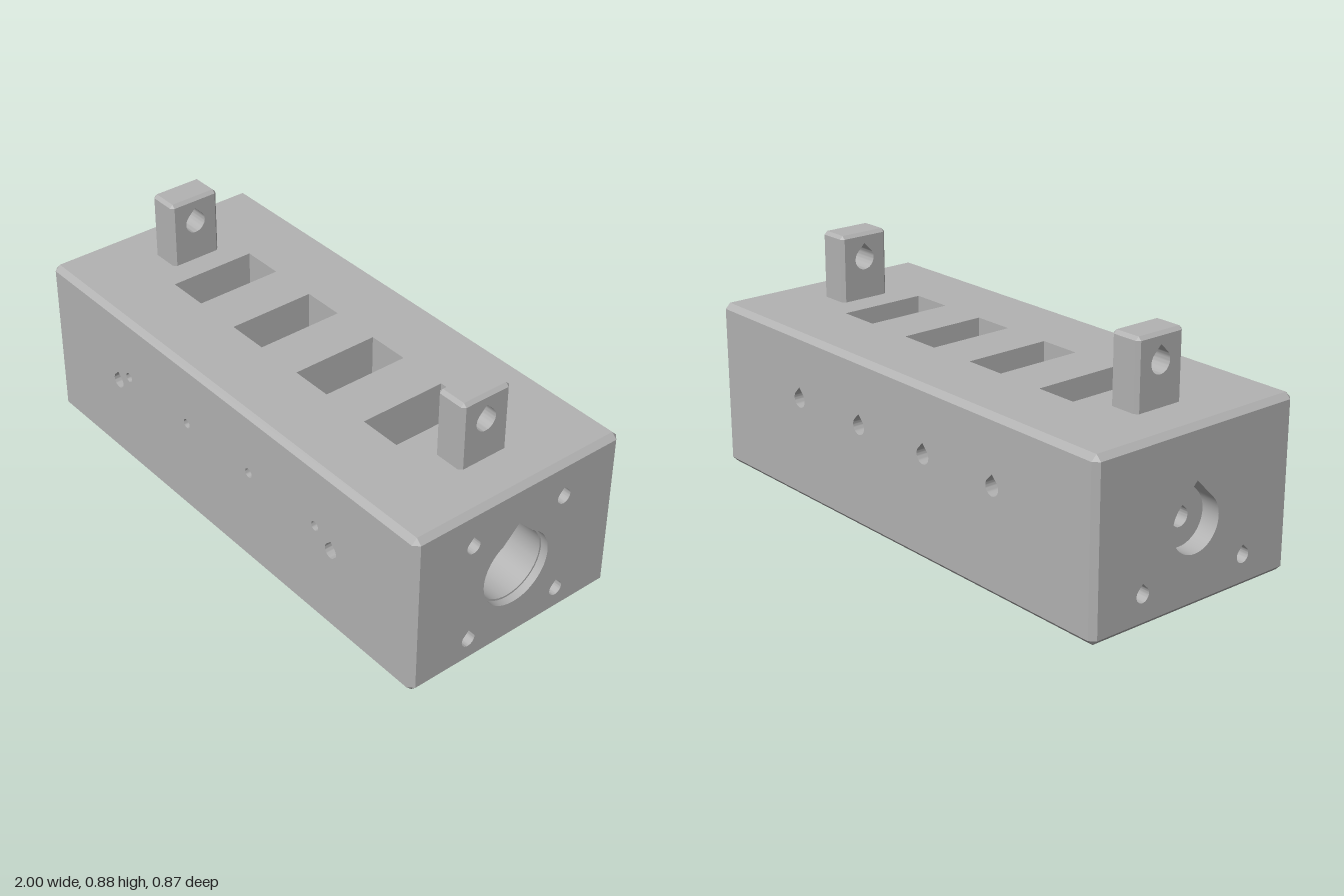
import * as THREE from 'three';
import { toCreasedNormals } from 'three/addons/utils/BufferGeometryUtils.js';

const grey = new THREE.MeshStandardMaterial({ color: 0xb2b2b2, side: THREE.DoubleSide });
grey.name = 'grey';

// Rotations that turn a local +z facing panel towards each side
const Q = Math.PI / 2;
const SIDES = {
  front: [0, 0], back: [0, 2 * Q], right: [0, Q], left: [0, -Q], top: [-Q, 0], bottom: [Q, 0],
};

// Outline of a teardrop hole, counter-clockwise; tip = r gives a plain circle
function drop(cx, cy, r, tip = r * Math.SQRT2) {
  const N = 32;
  const gap = Math.PI / 4 + Math.acos(Math.min(1, tip / (r * Math.SQRT2)));
  const start = Math.PI - gap;
  const sweep = Math.PI + 2 * gap;
  const pts = [];
  for (let i = 0; i <= N; i++) {
    const a = start + (sweep * i) / N;
    pts.push(new THREE.Vector2(cx + r * Math.cos(a), cy + r * Math.sin(a)));
  }
  pts.push(new THREE.Vector2(cx, cy + tip));
  return pts;
}
const rect = (x0, x1, y0, y1) =>
  [[x0, y0], [x1, y0], [x1, y1], [x0, y1]].map(([x, y]) => new THREE.Vector2(x, y));

function add(parent, name, geometry, side) {
  const mesh = new THREE.Mesh(geometry, grey);
  mesh.name = name;
  if (side) mesh.rotation.set(SIDES[side][0], SIDES[side][1], 0);
  parent.add(mesh);
  return mesh;
}

// Flat panel with holes, at distance w along its own normal
function panel(parent, name, side, outline, w, holes = []) {
  const shape = new THREE.Shape(outline);
  for (const h of holes) shape.holes.push(new THREE.Path(h));
  return add(parent, name, new THREE.ShapeGeometry(shape).translate(0, 0, w), side);
}

// Inward-facing walls through a chain of [outline, depth position]
function bore(parent, name, side, chain, closed = true) {
  const pos = [];
  for (let k = 0; k + 1 < chain.length; k++) {
    const [A, za] = chain[k], [B, zb] = chain[k + 1];
    for (let i = 0; i < A.length - (closed ? 0 : 1); i++) {
      const j = (i + 1) % A.length;
      pos.push(A[i].x, A[i].y, za, A[j].x, A[j].y, za, B[j].x, B[j].y, zb);
      pos.push(A[i].x, A[i].y, za, B[j].x, B[j].y, zb, B[i].x, B[i].y, zb);
    }
  }
  const g = new THREE.BufferGeometry();
  g.setAttribute('position', new THREE.Float32BufferAttribute(pos, 3));
  return add(parent, name, toCreasedNormals(g, 0.5), side);
}

// Blind hole; returns its outline for cutting the panel
function blind(parent, side, w, depth, cx, cy, r, tip) {
  const o = drop(cx, cy, r, tip);
  bore(parent, 'blindHole', side, [[o, w], [o, w - depth], [drop(cx, cy, 1e-4), w - depth]]);
  return o;
}

// Chamfered box: six panels plus the bevelled edges between them
function chamferedBox(parent, name, X, Z, y0, y1, c, holes) {
  const ring = (x, z, ix, iz, y) => [
    [ix, z], [x, iz], [x, -iz], [ix, -z], [-ix, -z], [-x, -iz], [-x, iz], [-ix, z],
  ].map(([a, b]) => [a, y, b]);
  const rings = [
    ring(X - c, Z - c, X - c, Z - c, y0), ring(X, Z, X - c, Z - c, y0 + c),
    ring(X, Z, X - c, Z - c, y1 - c), ring(X - c, Z - c, X - c, Z - c, y1),
  ];
  const pos = [];
  for (let k = 0; k < 3; k++) {
    for (let i = 0; i < 8; i++) {
      if (k === 1 && i % 2) continue; // flat sides are panels
      const j = (i + 1) % 8, A = rings[k], B = rings[k + 1];
      pos.push(...A[i], ...A[j], ...B[j], ...A[i], ...B[j], ...B[i]);
    }
  }
  const g = new THREE.BufferGeometry();
  g.setAttribute('position', new THREE.Float32BufferAttribute(pos, 3));
  g.computeVertexNormals();
  add(parent, name + 'Chamfers', g);
  const x = X - c, z = Z - c;
  const long = rect(-x, x, y0 + c, y1 - c), end = rect(-z, z, y0 + c, y1 - c), flat = rect(-x, x, -z, z);
  const faces = { front: [long, Z], back: [long, Z], right: [end, X], left: [end, X], top: [flat, y1], bottom: [flat, -y0] };
  for (const [side, [outline, w]] of Object.entries(faces)) {
    panel(parent, name + side[0].toUpperCase() + side.slice(1), side, outline, w, holes[side]);
  }
}

export function createModel() {
  const model = new THREE.Group();
  model.name = 'boredBlock';
  const block = new THREE.Group();
  block.name = 'block';
  model.add(block);

  const X = 1, Z = 0.435, H = 0.625;
  const pinXs = [-0.53, -0.18, 0.17, 0.52];
  const hw = 0.08, hz = 0.167;              // pocket half sizes
  const cy = 0.29, R = 0.103;               // main bore
  const half = R / Math.SQRT2, floorY = cy + half;
  const pinY = 0.38, pinR = 0.0175;
  const holes = { front: [], back: [], right: [], left: [], top: [], bottom: [] };

  // Blind screw holes
  for (const s of [-1, 1]) {
    holes.front.push(blind(block, 'front', Z, 0.2, 0.6 * s, 0.328, 0.028));
    holes.left.push(blind(block, 'left', X, 0.15, 0.225 * s, 0.115, 0.027));
    for (const y of [0.097, 0.485]) holes.right.push(blind(block, 'right', X, 0.15, 0.194 * s, y, 0.0275));
    for (const z of [-0.305, 0.305]) holes.bottom.push(blind(block, 'bottom', 0, 0.12, 0.69 * s, z, 0.024, 0.024));
  }

  // Pin holes and the open pockets they cross
  for (const px of pinXs) {
    const small = (x) => drop(x, pinY, pinR, pinR);
    const big = drop(-px, pinY, 0.031);
    holes.front.push(small(px));
    holes.back.push(big);
    bore(block, 'frontPinHole', 'front', [[small(px), Z], [small(px), hz]]);
    bore(block, 'backPinHole', 'back', [[big, Z], [big, 0.25], [small(-px), 0.25], [small(-px), hz]]);

    const pocket = new THREE.Group();
    pocket.name = 'pocket';
    block.add(pocket);
    holes.top.push(rect(px - hw, px + hw, -hz, hz));
    panel(pocket, 'pocketBackWall', 'front', rect(px - hw, px + hw, floorY, H), -hz, [small(px)]);
    panel(pocket, 'pocketFrontWall', 'back', rect(-px - hw, -px + hw, floorY, H), -hz, [small(-px)]);
    const notched = [[-hz, floorY], [-half, floorY], [0, floorY + half], [half, floorY], [hz, floorY], [hz, H], [-hz, H]]
      .map(([x, y]) => new THREE.Vector2(x, y));
    panel(pocket, 'pocketEndWall', 'right', notched, px - hw);
    panel(pocket, 'pocketEndWall', 'left', notched, -px - hw);
    panel(pocket, 'pocketFloor', 'top', rect(px - hw, px + hw, half, hz), floorY);
    panel(pocket, 'pocketFloor', 'top', rect(px - hw, px + hw, -hz, -half), floorY);
    // Bore without its roof under the pocket
    const open = drop(0, cy, R).slice(0, -1);
    bore(pocket, 'openBore', 'right', [[open, px + hw], [open, px - hw]], false);
  }

  // Stepped lengthwise bore
  const wide = drop(0, cy, 0.133), main = drop(0, cy, R), narrow = drop(0, cy, 0.0345);
  const mouth = drop(0, cy, 0.14, 0.133 * Math.SQRT2);
  holes.right.push(mouth);
  holes.left.push(main);
  bore(block, 'boreMouth', 'right', [
    [mouth, X], [mouth, 0.97], [wide, 0.97], [wide, 0.72], [main, 0.72], [main, pinXs[3] + hw],
  ]);
  for (let i = 0; i < 3; i++) {
    bore(block, 'boreSection', 'right', [[main, pinXs[i + 1] - hw], [main, pinXs[i] + hw]]);
  }
  bore(block, 'boreEnd', 'right', [
    [main, pinXs[0] - hw], [main, -0.75], [narrow, -0.75], [narrow, -0.93], [main, -0.93], [main, -X],
  ]);

  chamferedBox(block, 'block', X, Z, 0, H, 0.02, holes);

  // Two upright lugs with a cross hole
  for (const s of [-1, 1]) {
    const lug = new THREE.Group();
    lug.name = s > 0 ? 'leftLug' : 'rightLug';
    lug.position.x = 0.765 * s;
    model.add(lug);
    const eye = drop(0, 0.777, 0.041);
    bore(lug, 'lugEye', 'right', [[eye, 0.06], [eye, -0.06]]);
    chamferedBox(lug, 'lug', 0.06, 0.1, 0.6, 0.875, 0.012, { right: [eye], left: [eye] });
  }
  return model;
}
